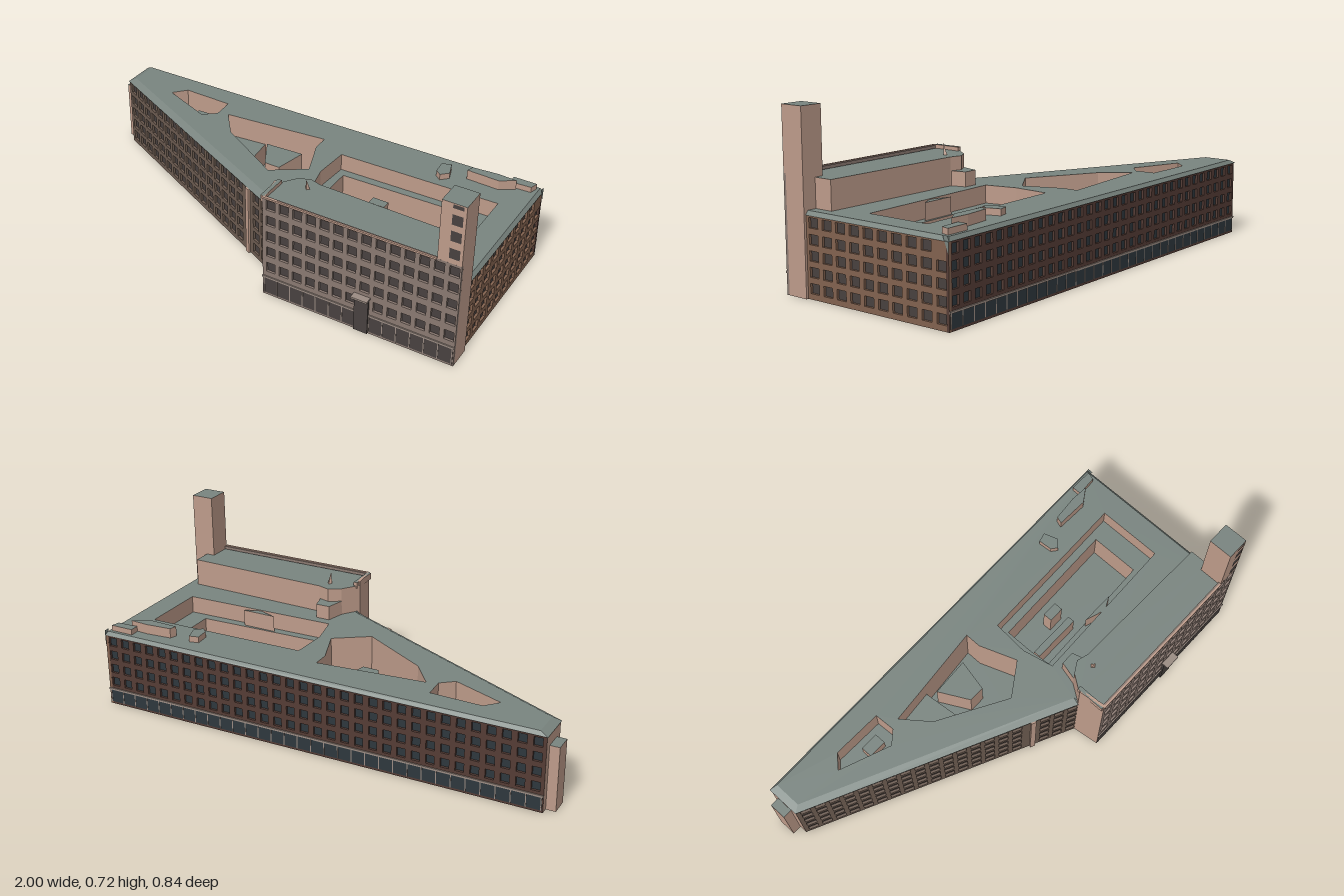
import * as THREE from 'three';

const mat = (color) => new THREE.MeshStandardMaterial({ color, flatShading: true, side: THREE.DoubleSide });
const M = {
  roof: mat(0x79847f), tan: mat(0xbd9b8a), front: mat(0x8a7971), diagonal: mat(0x6c5b50),
  east: mat(0x82624f), back: mat(0x543c35), glass: mat(0x48413f), blue: mat(0x2e373d), trim: mat(0x9a8b82),
};

function add(parent, name, geometry, material, x = 0, y = 0, z = 0) {
  const m = new THREE.Mesh(geometry, material);
  m.name = name;
  m.position.set(x, y, z);
  parent.add(m);
  return m;
}

const box = (parent, name, material, w, h, d, x, y, z) =>
  add(parent, name, new THREE.BoxGeometry(w, h, d), material, x, y, z);

// plan points are [x, z]
const toPoints = (plan) => plan.map(([x, z]) => new THREE.Vector2(x, -z));

function slab(parent, name, plan, y, holes = []) {
  const s = new THREE.Shape(toPoints(plan));
  for (const h of holes) s.holes.push(new THREE.Path(toPoints(h)));
  add(parent, name, new THREE.ShapeGeometry(s).rotateX(-Math.PI / 2), M.roof, 0, y, 0);
}

// closed ring of quads joining two outlines with equal point counts
function band(parent, name, planA, yA, planB, yB, material) {
  const v = [];
  planA.forEach((a, i) => {
    const j = (i + 1) % planA.length;
    const p = [a[0], yA, a[1]], q = [planA[j][0], yA, planA[j][1]];
    const r = [planB[j][0], yB, planB[j][1]], t = [planB[i][0], yB, planB[i][1]];
    v.push(...p, ...q, ...r, ...p, ...r, ...t);
  });
  const g = new THREE.BufferGeometry();
  g.setAttribute('position', new THREE.Float32BufferAttribute(v, 3));
  g.computeVertexNormals();
  add(parent, name, g, material);
}

// solid with tan sides and a roof-coloured top
function block(parent, name, plan, y0, y1) {
  const g = new THREE.ExtrudeGeometry(new THREE.Shape(toPoints(plan)), { depth: y1 - y0, bevelEnabled: false });
  add(parent, name, g.rotateX(-Math.PI / 2), [M.roof, M.tan], 0, y0, 0);
}

const rect = (x0, z0, x1, z1) => [[x0, z1], [x1, z1], [x1, z0], [x0, z0]];
const rectPoints = (x0, y0, x1, y1) => rect(x0, y0, x1, y1).map(([x, y]) => new THREE.Vector2(x, y));

// wall from a to b, left to right as seen from outside, with rows of recessed windows;
// local x runs along it and local z points outwards
function facade(parent, name, a, b, height, material, grids = [], glass = M.glass) {
  const DEPTH = 0.012;
  const g = new THREE.Group();
  const dx = b[0] - a[0], dz = b[1] - a[1], length = Math.hypot(dx, dz);
  g.name = name;
  g.position.set(a[0], 0, a[1]);
  g.rotation.y = Math.atan2(-dz, dx);
  const wall = new THREE.Shape(rectPoints(0, 0, length, height));
  for (const { x0, pitch, cols, ys, w, h, skipLast } of grids) {
    for (let c = 0; c < cols; c++) {
      ys.forEach((y, r) => {
        if (skipLast && c === cols - 1 && r === ys.length - 1) return;
        const x = x0 + c * pitch;
        wall.holes.push(new THREE.Path(rectPoints(x - w / 2, y - h / 2, x + w / 2, y + h / 2)));
        add(g, 'window', new THREE.PlaneGeometry(w, h), glass, x, y, -DEPTH + 0.002);
      });
    }
  }
  add(g, name + 'Wall', new THREE.ExtrudeGeometry(wall, { depth: DEPTH, bevelEnabled: false }), material, 0, 0, -DEPTH);
  parent.add(g);
  return { g, length };
}

// dark shop strip with thin mullions and a ledge above
function shopfront({ g, length }, bays, top, material) {
  const h = top - 0.014;
  box(g, 'shopStrip', material, length - 0.01, h, 0.004, length / 2, 0.01 + h / 2, 0);
  for (let i = 0; i <= bays; i++) {
    box(g, 'mullion', M.trim, 0.004, h, 0.004, 0.008 + (i * (length - 0.016)) / bays, 0.01 + h / 2, 0.001);
  }
  box(g, 'ledge', M.trim, length, 0.008, 0.006, length / 2, top, 0.002);
}

export function createModel() {
  const root = new THREE.Group();
  root.name = 'wedgeBuilding';
  const EAVE = 0.318, ROOF = 0.334, FLOOR = 0.13, TERRACE = 0.26, HIGH_FLOOR = 0.23;

  // front block facade
  const front = facade(root, 'frontFacade', [0.165, 0.388], [1, 0.386], 0.465, M.front,
    [{ x0: 0.037, pitch: 0.0593, cols: 14, ys: [0.137, 0.212, 0.285, 0.36, 0.432], w: 0.04, h: 0.044 }]);
  shopfront(front, 14, 0.088, M.glass);
  box(front.g, 'parapetCap', M.tan, 0.735, 0.008, 0.008, 0.368, 0.464, 0);
  box(front.g, 'door', M.glass, 0.06, 0.165, 0.012, 0.445, 0.085, 0.003);
  box(front.g, 'doorCanopy', M.trim, 0.07, 0.008, 0.034, 0.445, 0.17, 0.015);
  facade(root, 'frontBlockReturn', [0.15, 0.272], [0.165, 0.388], 0.468, M.tan);

  // right side, with a roof-coloured flap at the back corner
  const rows = [0.042, 0.104, 0.166, 0.228, 0.291];
  facade(root, 'rightFacade', [0.99, 0.29], [0.99, -0.415], EAVE, M.east,
    [{ x0: 0.045, pitch: 0.0697, cols: 10, ys: rows, w: 0.047, h: 0.039, skipLast: true }]);
  const flap = new THREE.Shape([[0.39, 0.338], [0.416, 0.338], [0.416, 0.272]].map(([x, y]) => new THREE.Vector2(x, y)));
  add(root, 'cornerFlap', new THREE.ShapeGeometry(flap).rotateY(Math.PI / 2), M.roof, 0.992);

  // long back side
  const back = facade(root, 'backFacade', [0.99, -0.415], [-0.96, -0.395], EAVE, M.back,
    [{ x0: 0.035, pitch: 0.0607, cols: 32, ys: [0.106, 0.167, 0.229, 0.29], w: 0.036, h: 0.038 }], M.blue);
  shopfront(back, 32, 0.07, M.blue);

  // narrow end with its projecting pier
  facade(root, 'narrowEnd', [-0.96, -0.395], [-0.96, -0.255], EAVE, M.tan);
  block(root, 'endPier', rect(-1, -0.365, -0.955, -0.29), 0, 0.27);

  // diagonal front side, split by a pilaster
  const diag = facade(root, 'diagonalFacade', [-0.96, -0.255], [0.15, 0.272], EAVE, M.diagonal, [
    { x0: 0.039, pitch: 0.0614, cols: 16, ys: rows, w: 0.042, h: 0.043 },
    { x0: 1.085, pitch: 0.061, cols: 3, ys: rows, w: 0.042, h: 0.043 },
  ]);
  box(diag.g, 'pilaster', M.tan, 0.022, EAVE, 0.012, 1.03, EAVE / 2, 0.003);

  // main roof with a sloped rim and sunken courtyards
  const eave = [[-0.963, -0.399], [-0.963, -0.252], [0.15, 0.275], [0.165, 0.36], [0.993, 0.36], [0.993, -0.419]];
  const top = [[-0.93, -0.388], [-0.93, -0.268], [0.155, 0.245], [0.17, 0.34], [0.98, 0.34], [0.98, -0.409]];
  const endWell = [[-0.72, -0.25], [-0.5, -0.165], [-0.445, -0.21], [-0.45, -0.3], [-0.67, -0.305]];
  // the middle courtyard is shallow at its pointed end and deep beyond it
  const [cutBack, cutFront] = [[-0.22, -0.242], [-0.2, -0.048]];
  const midTip = [[-0.4, -0.225], [-0.31, -0.11], cutFront, cutBack];
  const midDeep = [cutBack, cutFront, [-0.02, 0.055], [0.12, -0.04], [0.06, -0.2], [0.06, -0.27]];
  const midWell = [...midTip.slice(0, 2), ...midDeep.slice(1), cutBack];
  const terrace = [[0.18, -0.205], [0.17, -0.05], [0.2, 0.085], [0.88, 0.065], [0.88, -0.22]];
  const inner = [[0.21, -0.17], [0.21, -0.05], [0.22, 0.05], [0.79, 0.03], [0.79, -0.185]];
  band(root, 'roofRim', eave, EAVE, top, ROOF, M.roof);
  slab(root, 'mainRoof', top, ROOF, [endWell, midWell, terrace]);
  band(root, 'endCourtWalls', endWell, HIGH_FLOOR, endWell, ROOF, M.tan);
  slab(root, 'endCourtFloor', endWell, HIGH_FLOOR);
  band(root, 'middleCourtUpperWalls', midWell, HIGH_FLOOR, midWell, ROOF, M.tan);
  slab(root, 'middleCourtLedge', midTip, HIGH_FLOOR);
  band(root, 'middleCourtLowerWalls', midDeep, FLOOR, midDeep, HIGH_FLOOR, M.tan);
  slab(root, 'middleCourtFloor', midDeep, FLOOR);
  band(root, 'terraceWalls', terrace, TERRACE, terrace, ROOF, M.tan);
  slab(root, 'terrace', terrace, TERRACE, [inner]);
  band(root, 'innerCourtWalls', inner, FLOOR, inner, TERRACE, M.tan);
  slab(root, 'innerCourtFloor', inner, FLOOR);

  // low structures inside the courtyards
  block(root, 'courtHut', rect(0.38, -0.12, 0.45, -0.08), FLOOR, 0.24);
  block(root, 'courtHut', rect(0.23, -0.04, 0.45, -0.01), FLOOR, 0.22);
  block(root, 'courtHut', [[-0.19, -0.21], [-0.12, -0.08], [-0.05, -0.08], [-0.02, -0.22]], FLOOR, 0.26);
  block(root, 'courtHut', rect(-0.58, -0.26, -0.5, -0.21), HIGH_FLOOR, 0.28);
  block(root, 'courtHut', [[0.45, 0.05], [0.54, 0.08], [0.6, 0.05]], TERRACE, 0.33);

  // raised upper floors behind the front facade
  const upper = [[0.15, 0.272], [0.165, 0.376], [0.99, 0.374], [0.94, 0.285], [0.94, 0.2], [0.3, 0.185], [0.25, 0.17], [0.2, 0.2]];
  band(root, 'upperFloorWalls', upper, EAVE, upper, 0.452, M.tan);
  slab(root, 'upperRoof', upper, 0.452);
  block(root, 'roofParapet', rect(0.155, 0.257, 0.172, 0.385), 0.44, 0.468);
  block(root, 'stairHouse', [[0.2, 0.2], [0.3, 0.2], [0.28, 0.122], [0.22, 0.122]], ROOF, 0.395);
  const spike = add(root, 'roofSpike', new THREE.ConeGeometry(0.035, 0.17, 4), M.tan, 0.275, 0.417, 0.226);
  spike.rotation.x = 0.22;

  // corner tower rising behind and above the front wall
  block(root, 'towerBase', rect(0.902, 0.282, 1, 0.374), 0, 0.465);
  block(root, 'cornerTower', rect(0.902, 0.282, 1, 0.386), 0.465, 0.722);
  for (const [y, h] of [[0.51, 0.044], [0.585, 0.044], [0.655, 0.044], [0.711, 0.016]]) {
    add(root, 'towerWindow', new THREE.PlaneGeometry(0.042, h), M.glass, 0.968, y, 0.388);
  }

  // small rooftop houses
  block(root, 'roofTurret', [[0.58, -0.33], [0.585, -0.27], [0.61, -0.25], [0.64, -0.28], [0.62, -0.34]], ROOF, 0.36);
  block(root, 'roofHouse', [[0.7, -0.315], [0.84, -0.31], [0.9, -0.35], [0.82, -0.355], [0.71, -0.345]], ROOF, 0.376);
  block(root, 'roofHouse', [[0.87, -0.355], [0.96, -0.36], [0.97, -0.395], [0.87, -0.395]], ROOF, 0.358);
  return root;
}
